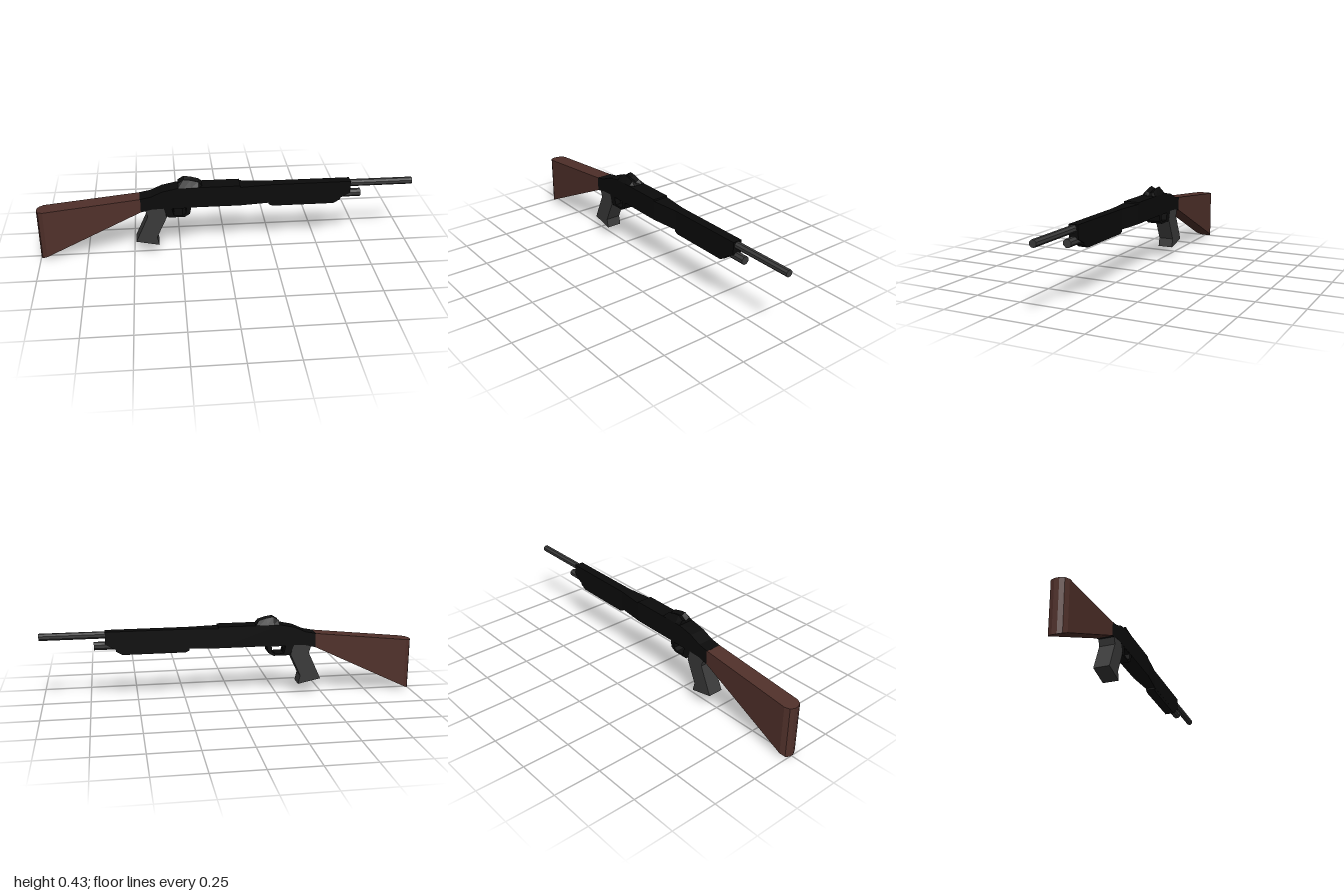
import * as THREE from 'three';

const mat = (color) => new THREE.MeshStandardMaterial({ color, flatShading: true, roughness: 0.8 });

// Joins cross-sections along x; each is [x, [[y, z], ...]], counter-clockwise seen from +x.
function loft(sections) {
  const pos = [];
  const put = (s, k) => pos.push(s[0], s[1][k][0], s[1][k][1]);
  const n = sections[0][1].length;
  for (let i = 0; i < sections.length - 1; i++) {
    const p = sections[i], q = sections[i + 1];
    for (let a = 0; a < n; a++) {
      const b = (a + 1) % n;
      put(p, a); put(p, b); put(q, a);
      put(p, b); put(q, b); put(q, a);
    }
  }
  const first = sections[0], last = sections[sections.length - 1];
  const outline = last[1].map(([y, z]) => new THREE.Vector2(-z, y));
  for (const [a, b, c] of THREE.ShapeUtils.triangulateShape(outline, [])) {
    put(last, a); put(last, b); put(last, c);
    put(first, a); put(first, c); put(first, b);
  }
  const g = new THREE.BufferGeometry();
  g.setAttribute('position', new THREE.Float32BufferAttribute(pos, 3));
  g.computeVertexNormals();
  return g;
}

// Rectangular section: position, bottom, top, half width.
const rect = ([x, lo, hi, w]) => [x, [[lo, w], [lo, -w], [hi, -w], [hi, w]]];
const block = (stations) => loft(stations.map(rect));

// Side profile extruded across the full width, centred on z.
function slab(points, width, hole) {
  const toV = (list) => list.map(([x, y]) => new THREE.Vector2(x, y));
  const shape = new THREE.Shape(toV(points));
  if (hole) shape.holes.push(new THREE.Path(toV(hole)));
  return new THREE.ExtrudeGeometry(shape, { depth: width, bevelEnabled: false }).translate(0, 0, -width / 2);
}

function rod(x0, x1, y, r) {
  return new THREE.CylinderGeometry(r, r, x1 - x0, 8)
    .rotateY(Math.PI / 8).rotateZ(-Math.PI / 2).translate((x0 + x1) / 2, y, 0);
}

export function createModel() {
  const group = new THREE.Group();
  const wood = mat(0x50302a), black = mat(0x0b0b0b), grey = mat(0x3a3a3a);
  const add = (name, geometry, material) => {
    const m = new THREE.Mesh(geometry, material);
    m.name = name;
    group.add(m);
  };

  // Tapered stock with a rounded butt
  const stockStations = [[-1, 0.012], [-0.99, 0.034], [-0.965, 0.046], [-0.455, 0.043]].map(([x, w]) => {
    const t = (x + 1) / 0.545;
    return [x, 0.262 * t, 0.28 + 0.058 * t, w];
  });
  add('stock', block(stockStations), wood);

  // Receiver narrowing into the fore-end
  add('receiver', block([
    [-0.458, 0.261, 0.338, 0.043],
    [-0.4, 0.275, 0.349, 0.043],
    [-0.34, 0.278, 0.376, 0.043],
    [-0.26, 0.278, 0.393, 0.043],
    [0.07, 0.278, 0.393, 0.043],
    [0.071, 0.278, 0.384, 0.043],
    [0.23, 0.278, 0.384, 0.026],
    [0.59, 0.278, 0.384, 0.025],
    [0.63, 0.298, 0.384, 0.025],
    [0.663, 0.316, 0.384, 0.025],
  ]), black);

  // Slide handle under the fore-end
  add('slideHandle', block([
    [0.225, 0.268, 0.3, 0.025],
    [0.245, 0.258, 0.3, 0.025],
    [0.575, 0.258, 0.3, 0.025],
    [0.61, 0.278, 0.3, 0.025],
  ]), black);

  // Notched rear sight
  const notch = ([x, top, dip]) =>
    [x, [[0.385, 0.043], [0.385, -0.043], [0.393, -0.043], [top, -0.023], [dip, 0], [top, 0.023], [0.393, 0.043]]];
  add('rearSight', loft([
    [-0.255, 0.415, 0.404], [-0.225, 0.433, 0.421], [-0.19, 0.428, 0.417],
    [-0.148, 0.416, 0.406], [-0.13, 0.394, 0.3935],
  ].map(notch)), black);

  // Trigger guard and trigger
  add('triggerGuard', slab(
    [[-0.34, 0.285], [-0.32, 0.232], [-0.31, 0.223], [-0.225, 0.223], [-0.197, 0.24], [-0.188, 0.285]], 0.084,
    [[-0.292, 0.275], [-0.215, 0.275], [-0.218, 0.245], [-0.235, 0.233], [-0.282, 0.233]]), black);
  add('trigger', slab([[-0.288, 0.28], [-0.295, 0.252], [-0.285, 0.236], [-0.279, 0.238], [-0.284, 0.254], [-0.272, 0.28]], 0.02), black);

  // Slanted pistol grip
  add('grip', slab([
    [-0.435, 0.28], [-0.42, 0.232], [-0.487, 0.084], [-0.364, 0.058],
    [-0.375, 0.105], [-0.32, 0.224], [-0.335, 0.28],
  ], 0.084), grey);

  // Barrel and magazine tube
  add('barrel', rod(0.6, 1, 0.364, 0.019), grey);
  add('magazineTube', rod(0.55, 0.722, 0.306, 0.022), grey);

  return group;
}
